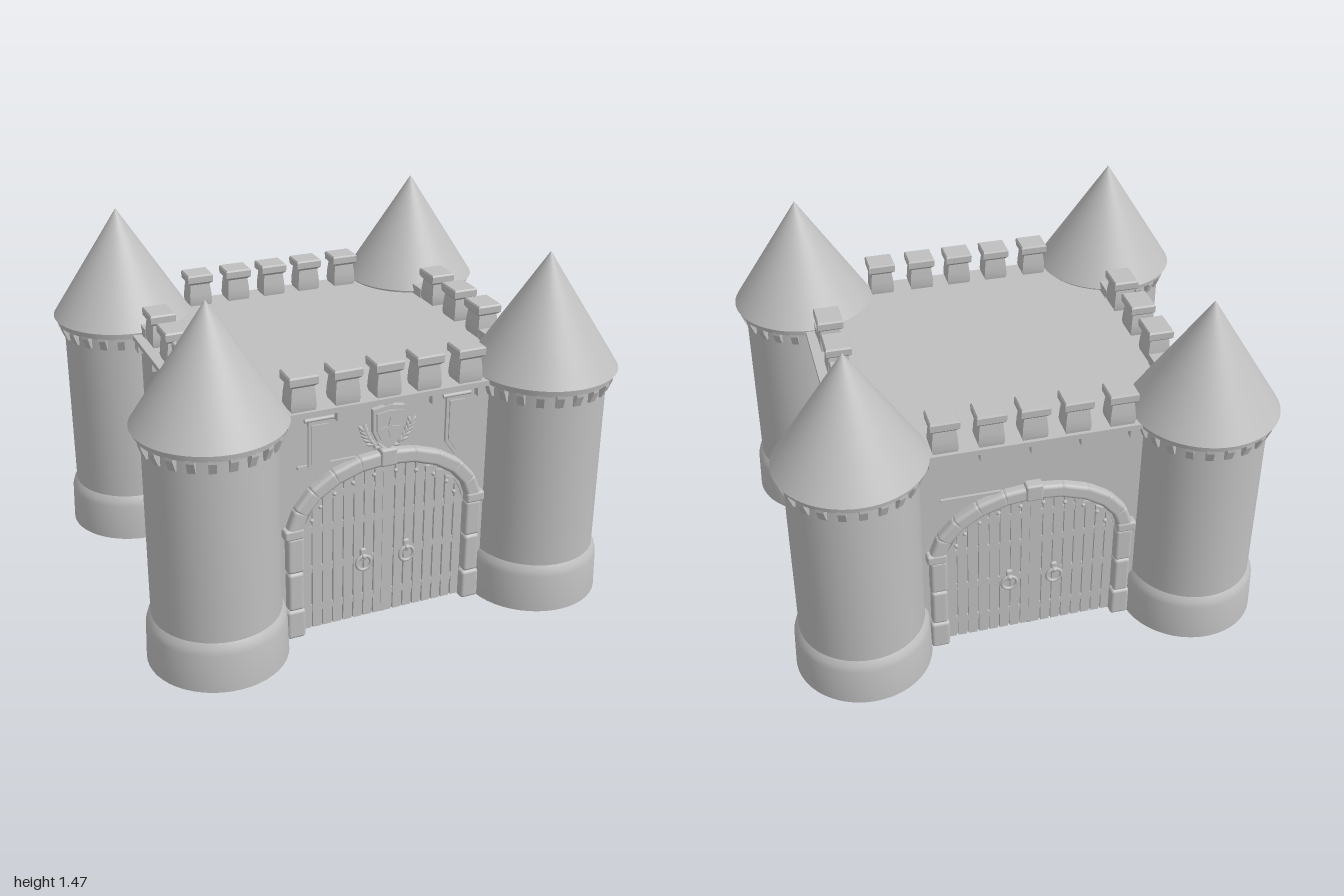
import * as THREE from 'three';
import { toCreasedNormals } from 'three/addons/utils/BufferGeometryUtils.js';
import { RoundedBoxGeometry } from 'three/addons/geometries/RoundedBoxGeometry.js';

const stone = new THREE.MeshStandardMaterial({ color: 0xbfbfbf, side: THREE.DoubleSide });
stone.name = 'stone grey';

const V = (x, y) => new THREE.Vector2(x, y);

function add(parent, name, geometry, x = 0, y = 0, z = 0) {
  const mesh = new THREE.Mesh(geometry, stone);
  mesh.name = name;
  mesh.position.set(x, y, z);
  parent.add(mesh);
  return mesh;
}

function group(parent, name) {
  const g = new THREE.Group();
  g.name = name;
  parent.add(g);
  return g;
}

const lathe = (points, sides) =>
  toCreasedNormals(new THREE.LatheGeometry(points.map(p => V(...p)), sides), 0.5);

const plate = (points, depth) =>
  new THREE.ExtrudeGeometry(new THREE.Shape(points.map(p => V(...p))), { depth, bevelEnabled: false });

// Round tower with flared foot, corbel ring and conical roof
function addTower(parent, x, z) {
  const tower = group(parent, 'tower');
  tower.position.set(x, 0, z);
  add(tower, 'towerBody', lathe([[0.28, 0], [0.275, 0.16], [0.268, 0.185], [0.255, 0.205], [0.254, 0.97]], 48));
  add(tower, 'towerRing', lathe([[0.25, 0.965], [0.28, 0.97], [0.285, 1.0], [0.25, 1.0]], 48));
  const corbel = plate([[0, 0], [0.012, 0], [0.03, 0.045], [0.03, 0.07], [0, 0.07]], 0.03);
  corbel.translate(0.25, 0, -0.015);
  for (let i = 0; i < 22; i++) {
    add(tower, 'towerCorbel', corbel, 0, 0.915, 0).rotation.y = (i + 0.5) * Math.PI * 2 / 22;
  }
  add(tower, 'towerRoof', new THREE.ConeGeometry(0.296, 0.465, 64, 8), 0, 1.2325, 0);
}

// Square merlon with a waist and a projecting cap
function merlonGeometry(wx, wz) {
  const profile = [[0, 0], [0.8, 0], [0.88, 0.02], [0.84, 0.06], [0.76, 0.1], [0.98, 0.112], [1, 0.14], [0.92, 0.147], [0, 0.147]];
  const g = new THREE.LatheGeometry(profile.map(([r, y]) => V(r * Math.SQRT2 / 2, y)), 4);
  g.rotateY(Math.PI / 4);
  g.scale(wx, 1, wz);
  return toCreasedNormals(g, 0.5);
}

// Ring knocker hung on a small back plate
function addKnocker(parent, x, y, z) {
  const k = group(parent, 'knocker');
  k.position.set(x, y, z);
  add(k, 'knockerRing', new THREE.TorusGeometry(0.031, 0.007, 8, 24), 0, 0, 0.012);
  add(k, 'knockerPlate', new RoundedBoxGeometry(0.026, 0.055, 0.016, 2, 0.007), 0, 0.035, 0.004);
  add(k, 'knockerBoss', new THREE.SphereGeometry(0.011, 12, 8), 0, 0.03, 0.014);
}

const HALF = 0.355, SPRING = 0.43, RISE = 0.27;
const archY = x => SPRING + RISE * Math.sqrt(Math.max(0, 1 - (x / HALF) ** 2));

// Gate wall: pierced wall, plank doors, stone arch; built facing +z at z = 0
function addGateWall(parent) {
  const outline = [[-0.69, 0], [-HALF, 0], [-HALF, SPRING]];
  for (let i = 1; i < 24; i++) {
    const x = -HALF * Math.cos(i * Math.PI / 24);
    outline.push([x, archY(x)]);
  }
  outline.push([HALF, SPRING], [HALF, 0], [0.69, 0], [0.69, 0.97], [-0.69, 0.97]);
  add(parent, 'gateWall', plate(outline, 0.03), 0, 0, -0.03);

  // Doors: thin backing plate, raised planks, cross bars on both faces
  const doorOutline = outline.slice(1, -3);
  add(parent, 'doorBacking', plate(doorOutline, 0.012), 0, 0.01, -0.022);
  const pitch = HALF / 8;
  for (let i = -8; i < 8; i++) {
    const a = i * pitch + 0.004, b = (i + 1) * pitch - 0.004;
    const top = Math.min(archY(a), archY(b));
    add(parent, 'doorPlank', plate([[a, 0.012], [b, 0.012], [b, Math.max(top, archY(b) - 0.02)], [a, Math.max(top, archY(a) - 0.02)]], 0.014), 0, 0, -0.012);
  }
  for (const side of [-1, 1]) {
    for (const y of [0.1, 0.28, 0.46, 0.6]) {
      const w = y > 0.5 ? 0.24 : 0.33;
      add(parent, 'doorBar', new THREE.BoxGeometry(w, 0.03, 0.012), side * (w / 2 + 0.008), y, -0.006);
      add(parent, 'innerDoorBar', new THREE.BoxGeometry(w, 0.025, 0.025), side * (w / 2 + 0.008), y, -0.035);
    }
    addKnocker(parent, side * 0.095, 0.275, 0.01);

    // Jamb stones
    [[0, 0.13, 0.078], [0.13, 0.17, 0.066], [0.3, 0.16, 0.07]].forEach(([y, h, w]) =>
      add(parent, 'jambStone', new RoundedBoxGeometry(w, h, 0.065, 3, 0.014), side * 0.388, y + h / 2, 0.005));
    add(parent, 'impost', new RoundedBoxGeometry(0.08, 0.045, 0.07, 3, 0.01), side * 0.395, 0.475, 0.005);
  }
  add(parent, 'doorSeam', new THREE.BoxGeometry(0.014, 0.68, 0.018), 0, 0.352, -0.004);

  // Arch stones and studs follow the same ellipse
  const n = 10;
  const onArch = (t, a, b) => V(-a * Math.cos(t), 0.455 + b * Math.sin(t));
  for (let i = 0; i < n; i++) {
    const t0 = 0.1 + i * (Math.PI - 0.2) / n, t1 = 0.1 + (i + 1) * (Math.PI - 0.2) / n;
    const p = onArch(t0, 0.393, 0.275), q = onArch(t1, 0.393, 0.275);
    const s = add(parent, 'archStone', new RoundedBoxGeometry(p.distanceTo(q) + 0.018, 0.063, 0.065, 3, 0.016),
      (p.x + q.x) / 2, (p.y + q.y) / 2, 0.005);
    s.rotation.z = Math.atan2(q.y - p.y, q.x - p.x);
    const m = onArch((t0 + t1) / 2, 0.32, 0.2);
    add(parent, 'doorStud', new THREE.SphereGeometry(0.009, 10, 6), m.x, m.y, 0.003);
  }
  add(parent, 'keystone', new RoundedBoxGeometry(0.07, 0.075, 0.075, 3, 0.01), 0, 0.735, 0.006);
  add(parent, 'wallRod', new THREE.BoxGeometry(0.24, 0.012, 0.012), -0.25, 0.745, 0.005);
  for (const x of [-0.4, -0.2, 0, 0.2, 0.4]) {
    add(parent, 'wallCorbel', new THREE.BoxGeometry(0.03, 0.045, 0.03), x, 0.945, 0.012);
  }
}

// Shield with star and laurel sprays, and two hanging banners
function addHeraldry(parent) {
  const h = group(parent, 'heraldry');
  const shield = s => [[-0.068, 0.085], [0, 0.095], [0.068, 0.085], [0.066, -0.01], [0.045, -0.055], [0, -0.09], [-0.045, -0.055], [-0.066, -0.01]].map(p => p.map(v => v * s));
  add(h, 'shieldRim', plate(shield(1), 0.022), 0, 0.86, 0.01);
  add(h, 'shieldFace', plate(shield(0.8), 0.007), 0, 0.86, 0.032);
  const star = [];
  for (let i = 0; i < 8; i++) {
    const r = i % 2 ? 0.012 : 0.042, a = i * Math.PI / 4;
    star.push([r * Math.cos(a), r * Math.sin(a)]);
  }
  add(h, 'shieldStar', plate(star, 0.006), 0, 0.865, 0.038);
  const leaf = new THREE.SphereGeometry(1, 10, 8);
  for (const side of [-1, 1]) {
    for (let i = 0; i < 6; i++) {
      const t = i / 5;
      for (const spread of [-0.5, 0.5]) {
        const l = add(h, 'laurelLeaf', leaf, side * (0.03 + 0.072 * Math.sqrt(t)), 0.775 + 0.09 * t, 0.015);
        l.scale.set(0.008, 0.022, 0.007);
        l.rotation.z = -side * (1.1 - 0.9 * t + spread);
        l.position.x += side * spread * 0.012;
      }
    }
    const x = side * 0.29;
    add(h, 'banner', plate([[-0.045, 0.95], [-0.045, 0.755], [0, 0.69], [0.045, 0.755], [0.045, 0.95]], 0.012), x, 0, 0.022);
    add(h, 'bannerPanel', plate([[-0.033, 0.93], [-0.033, 0.765], [0, 0.715], [0.033, 0.765], [0.033, 0.93]], 0.006), x, 0, 0.034);
    const rod = add(h, 'bannerRod', new THREE.CylinderGeometry(0.008, 0.008, 0.12, 10), x, 0.95, 0.03);
    rod.rotation.z = Math.PI / 2;
  }
}

// Plain side wall with lock plate and ring; built facing +z at z = 0
function addSideWall(parent) {
  add(parent, 'sideWall', new THREE.BoxGeometry(1.24, 0.97, 0.03), 0, 0.485, -0.015);
  add(parent, 'lockPlate', new RoundedBoxGeometry(0.044, 0.07, 0.02, 3, 0.009), 0, 0.705, 0.005);
  add(parent, 'keyhole', new THREE.CylinderGeometry(0.009, 0.009, 0.006, 12), 0, 0.715, 0.016).rotation.x = Math.PI / 2;
  add(parent, 'keySlot', new THREE.BoxGeometry(0.008, 0.025, 0.006), 0, 0.7, 0.016);
  addKnocker(parent, 0, 0.28, 0.006);
  for (const x of [-0.31, -0.1, 0.1, 0.31]) {
    add(parent, 'wallCorbel', new THREE.BoxGeometry(0.03, 0.05, 0.03), x, 0.94, 0.015);
  }
}

export function createModel() {
  const castle = new THREE.Group();
  castle.name = 'castle';

  for (const x of [-0.702, 0.702]) for (const z of [-0.612, 0.612]) addTower(castle, x, z);

  // Walls
  const front = group(castle, 'frontWall'), back = group(castle, 'backWall');
  front.position.z = 0.63;
  back.position.z = -0.63;
  back.rotation.y = Math.PI;
  addGateWall(front);
  addGateWall(back);
  addHeraldry(front);
  for (const side of [-1, 1]) {
    const wall = group(castle, side > 0 ? 'leftWall' : 'rightWall');
    wall.position.x = side * 0.69;
    wall.rotation.y = side * Math.PI / 2;
    addSideWall(wall);
  }

  // Deck and battlements
  add(castle, 'deck', new THREE.BoxGeometry(1.46, 0.022, 1.34), 0, 0.977, 0);
  const frontMerlon = merlonGeometry(0.117, 0.105), sideMerlon = merlonGeometry(0.107, 0.13);
  for (const side of [-1, 1]) {
    for (const x of [-0.35, -0.171, 0, 0.171, 0.35]) add(castle, 'merlon', frontMerlon, x, 0.985, side * 0.612);
    for (const z of [-0.21, 0, 0.21]) add(castle, 'merlon', sideMerlon, side * 0.645, 0.985, z);
    for (const z of [-0.32, 0.32]) add(castle, 'parapetEnd', new THREE.BoxGeometry(0.095, 0.045, 0.1), side * 0.645, 1.008, z);
  }
  return castle;
}
